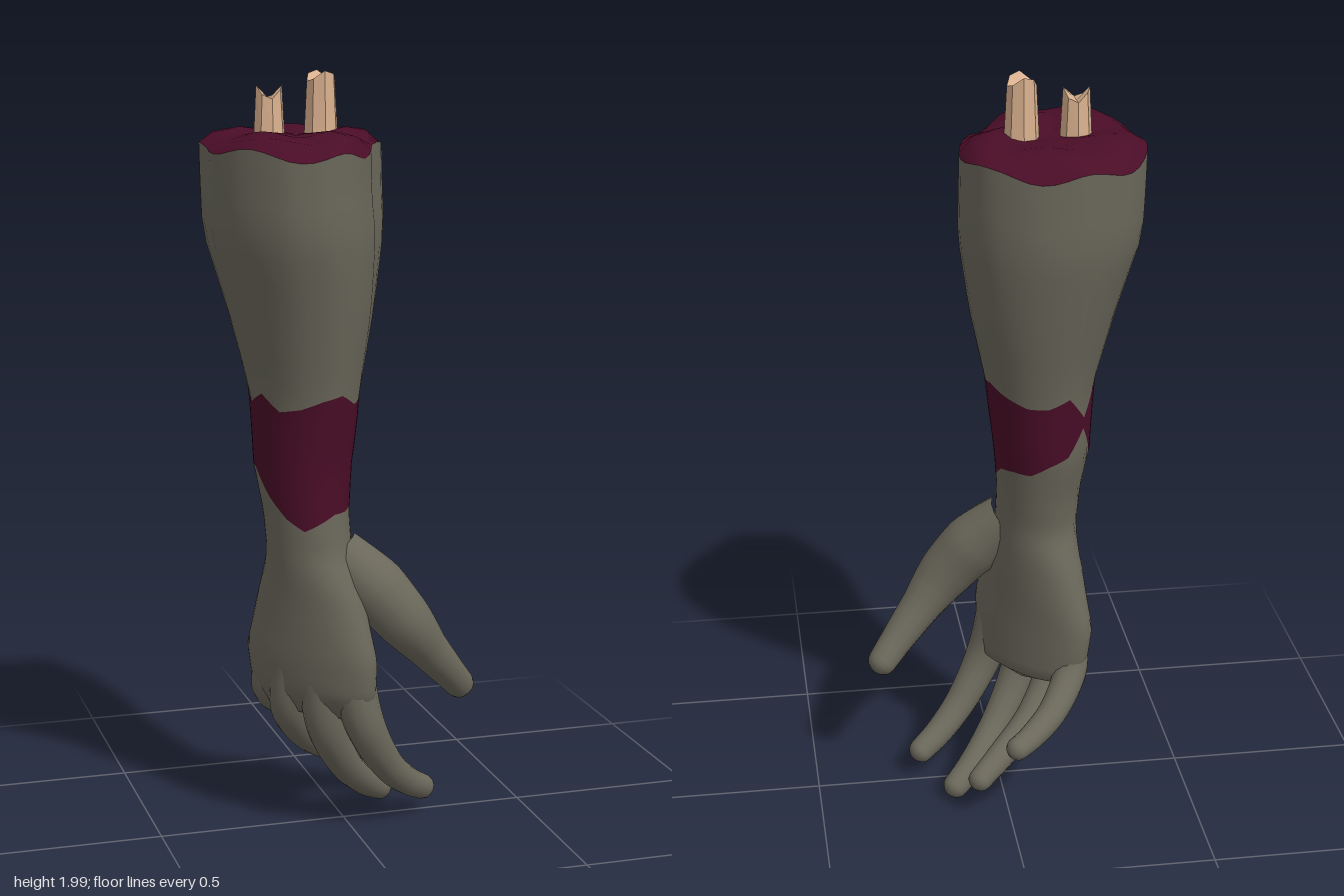
import * as THREE from 'three';

const N = 48; // segments around the arm
const mat = (name, color) => {
  const m = new THREE.MeshStandardMaterial({ color });
  m.name = name;
  return m;
};

// Skins closed rings of points; optional groups are [firstRow, lastRow, material]
function loft(rows, groups = []) {
  const n = rows[0].length, index = [];
  const geo = new THREE.BufferGeometry().setFromPoints(rows.flat());
  for (let i = 0; i < rows.length - 1; i++) {
    for (let j = 0; j < n; j++) {
      const k = (j + 1) % n;
      const a = i * n + j, b = i * n + k;
      index.push(a, b, a + n, b, b + n, a + n);
    }
  }
  geo.setIndex(index);
  for (const [from, to, m] of groups) geo.addGroup(from * n * 6, (to - from) * n * 6, m);
  geo.computeVertexNormals();
  return geo;
}

// Linear sample of a closed table by angle
function around(table, t) {
  const s = (t / (Math.PI * 2)) * table.length, i = Math.floor(s);
  return THREE.MathUtils.lerp(table[i % table.length], table[(i + 1) % table.length], s - i);
}

// Arm sections: y, centre x, centre z, half width, half thickness, turn
const SECTIONS = [
  [1.85, -0.13, 0.02, 0.285, 0.235, 1.57],
  [1.80, -0.13, 0.02, 0.285, 0.235, 1.57],
  [1.60, -0.125, 0.02, 0.275, 0.235, 1.57],
  [1.40, -0.11, 0.015, 0.225, 0.19, 1.57],
  [1.20, -0.107, 0.015, 0.175, 0.143, 1.57],
  [1.00, -0.115, 0.015, 0.148, 0.125, 1.57],
  [0.88, -0.11, 0.03, 0.133, 0.11, 1.57],
  [0.78, -0.105, 0.04, 0.125, 0.105, 1.3],
  [0.65, -0.1, 0.042, 0.165, 0.1, 1.0],
  [0.50, -0.1, 0.043, 0.2, 0.09, 0.9],
  [0.40, -0.095, 0.04, 0.192, 0.08, 0.9],
  [0.34, -0.08, 0.03, 0.16, 0.06, 0.9],
  [0.31, -0.07, 0.02, 0.02, 0.01, 0.9],
];
// Irregular outline of the cut end, and the ragged edges of the wound band
const STUMP = [0.225, 0.19, 0.205, 0.24, 0.28, 0.285, 0.262, 0.245,
  0.23, 0.249, 0.262, 0.27, 0.28, 0.285, 0.28, 0.25];
const BAND_TOP = [1.2, 1.18, 1.17, 1.2, 1.19, 1.17, 1.16, 1.2,
  1.17, 1.21, 1.12, 1.19, 1.17, 1.17, 1.19, 1.21];
const BAND_BOTTOM = [0.92, 0.9, 0.89, 0.89, 0.87, 0.85, 0.88, 0.93,
  1.0, 1.0, 1.09, 1.02, 1.0, 0.97, 0.97, 0.96];
const rimY = (t) => 1.808 + 0.012 * Math.sin(6 * t) + 0.008 * Math.cos(2 * t + 0.5);

function armPoint(y, t) {
  let i = 0;
  while (i < SECTIONS.length - 2 && SECTIONS[i + 1][0] > y) i++;
  const A = SECTIONS[i], B = SECTIONS[i + 1];
  const f = THREE.MathUtils.clamp((A[0] - y) / (A[0] - B[0]), 0, 1);
  const [, cx, cz, a, b, turn] = A.map((v, k) => v + (B[k] - v) * f);
  const ellipse = 1 / Math.hypot(Math.cos(t) / 0.235, Math.sin(t) / 0.285);
  const k = THREE.MathUtils.clamp((y - 1.1) / 0.6, 0, 1);
  const s = 1 + (around(STUMP, t) / ellipse - 1) * k;
  const u = a * s * Math.cos(t - turn), v = b * s * Math.sin(t - turn);
  return new THREE.Vector3(
    cx + u * Math.cos(turn) - v * Math.sin(turn), y,
    cz + u * Math.sin(turn) + v * Math.cos(turn));
}

const ring = (fn, n = N) => Array.from({ length: n }, (_, j) => fn((j / n) * Math.PI * 2));

// Forearm, wound band and palm as one continuous skin
function armGeometry() {
  const levels = [rimY, (t) => around(BAND_TOP, t), (t) => around(BAND_BOTTOM, t), () => 0.31];
  const steps = [10, 5, 20], rows = [], groups = [];
  steps.forEach((count, s) => {
    const start = Math.max(rows.length - 1, 0);
    for (let i = s ? 1 : 0; i <= count; i++) {
      rows.push(ring((t) => armPoint(
        THREE.MathUtils.lerp(levels[s](t), levels[s + 1](t), i / count), t)));
    }
    groups.push([start, rows.length - 1, s === 1 ? 1 : 0]);
  });
  rows.push(ring(() => new THREE.Vector3(-0.07, 0.305, 0.02)));
  groups[2][1]++;
  return loft(rows, groups);
}

// Torn flesh over the cut end, from the middle out to the rim
function stumpGeometry() {
  const centre = new THREE.Vector3(-0.12, 1.835, -0.02);
  return loft([0, 0.3, 0.6, 0.85, 1].map((s, i) => ring((t) => {
    const p = armPoint(rimY(t), t);
    const q = centre.clone().lerp(p, s);
    if (i < 4) q.y = 1.84 + (i === 3 ? 0 : 0.006 * i) + 0.01 * s * Math.sin(5 * t + i);
    return q;
  })));
}

// Tapered, round-tipped finger through points [x, y, z, radius]
function fingerGeometry(points) {
  const curve = new THREE.CatmullRomCurve3(points.map((p) => new THREE.Vector3(...p)));
  const steps = 24, frames = curve.computeFrenetFrames(steps, false), rows = [];
  const addRow = (c, i, r) => rows.push(ring((t) => c.clone()
    .addScaledVector(frames.normals[i], r * Math.cos(t))
    .addScaledVector(frames.binormals[i], r * Math.sin(t)), 14));
  for (let i = 0; i <= steps; i++) {
    const s = curve.getUtoTmapping(i / steps) * (points.length - 1);
    const k = Math.min(Math.floor(s), points.length - 2);
    addRow(curve.getPointAt(i / steps), i,
      THREE.MathUtils.lerp(points[k][3], points[k + 1][3], s - k));
  }
  const tip = points[points.length - 1][3];
  for (const a of [0.4, 0.8, 1.2, Math.PI / 2]) {
    const c = curve.getPointAt(1).addScaledVector(frames.tangents[steps], tip * 0.85 * Math.sin(a));
    addRow(c, steps, tip * Math.cos(a));
  }
  return loft(rows);
}

// Snapped bone with a notched top and flat facets
function boneGeometry(x, z, top, r, notch, phase) {
  const row = (radius, y) => ring((t) => new THREE.Vector3(
    x + radius * Math.cos(t), y(t), z + radius * Math.sin(t)), 8);
  const geo = loft([
    row(0, () => top - notch),
    row(r * 0.86, (t) => top - notch * Math.cos(t + phase) ** 2),
    row(r, () => 1.86),
    row(r * 1.08, () => 1.8),
  ]).toNonIndexed();
  geo.computeVertexNormals();
  return geo;
}

const FINGERS = {
  thumb: [[-0.04, 0.77, 0.07, 0.07], [0.05, 0.68, 0.105, 0.085], [0.13, 0.585, 0.12, 0.075],
    [0.2, 0.5, 0.1, 0.056], [0.27, 0.42, 0.065, 0.045], [0.315, 0.37, 0.035, 0.04]],
  indexFinger: [[-0.02, 0.47, 0.135, 0.058], [0.015, 0.32, 0.145, 0.053], [0.09, 0.19, 0.105, 0.043],
    [0.16, 0.12, 0.06, 0.038], [0.215, 0.085, 0.025, 0.034]],
  middleFinger: [[-0.09, 0.44, 0.09, 0.058], [-0.07, 0.3, 0.08, 0.052], [0, 0.17, 0.02, 0.043],
    [0.08, 0.085, -0.06, 0.039], [0.135, 0.045, -0.105, 0.034]],
  ringFinger: [[-0.15, 0.47, 0.03, 0.053], [-0.15, 0.34, 0, 0.05], [-0.08, 0.23, -0.07, 0.042],
    [0.02, 0.155, -0.15, 0.037], [0.08, 0.12, -0.2, 0.032]],
  littleFinger: [[-0.18, 0.5, -0.05, 0.046], [-0.185, 0.38, -0.08, 0.046], [-0.125, 0.3, -0.165, 0.039],
    [-0.055, 0.265, -0.235, 0.034], [-0.01, 0.255, -0.275, 0.031]],
};

export function createModel() {
  const skin = mat('greySkin', 0x6b685b);
  const flesh = mat('darkFlesh', 0x4a0d27);
  const bone = mat('bone', 0xd9b08e);
  const model = new THREE.Group();
  model.name = 'severedForearm';
  const add = (name, geo, material) => {
    const mesh = new THREE.Mesh(geo, material);
    mesh.name = name;
    model.add(mesh);
  };

  add('forearmAndPalm', armGeometry(), [skin, flesh]);
  add('stumpFlesh', stumpGeometry(), flesh);
  add('largeBone', boneGeometry(-0.055, -0.015, 2.0, 0.043, 0.03, 0.2), bone);
  add('smallBone', boneGeometry(-0.19, -0.015, 1.965, 0.039, 0.035, 1.4), bone);
  for (const [name, points] of Object.entries(FINGERS)) add(name, fingerGeometry(points), skin);
  return model;
}
